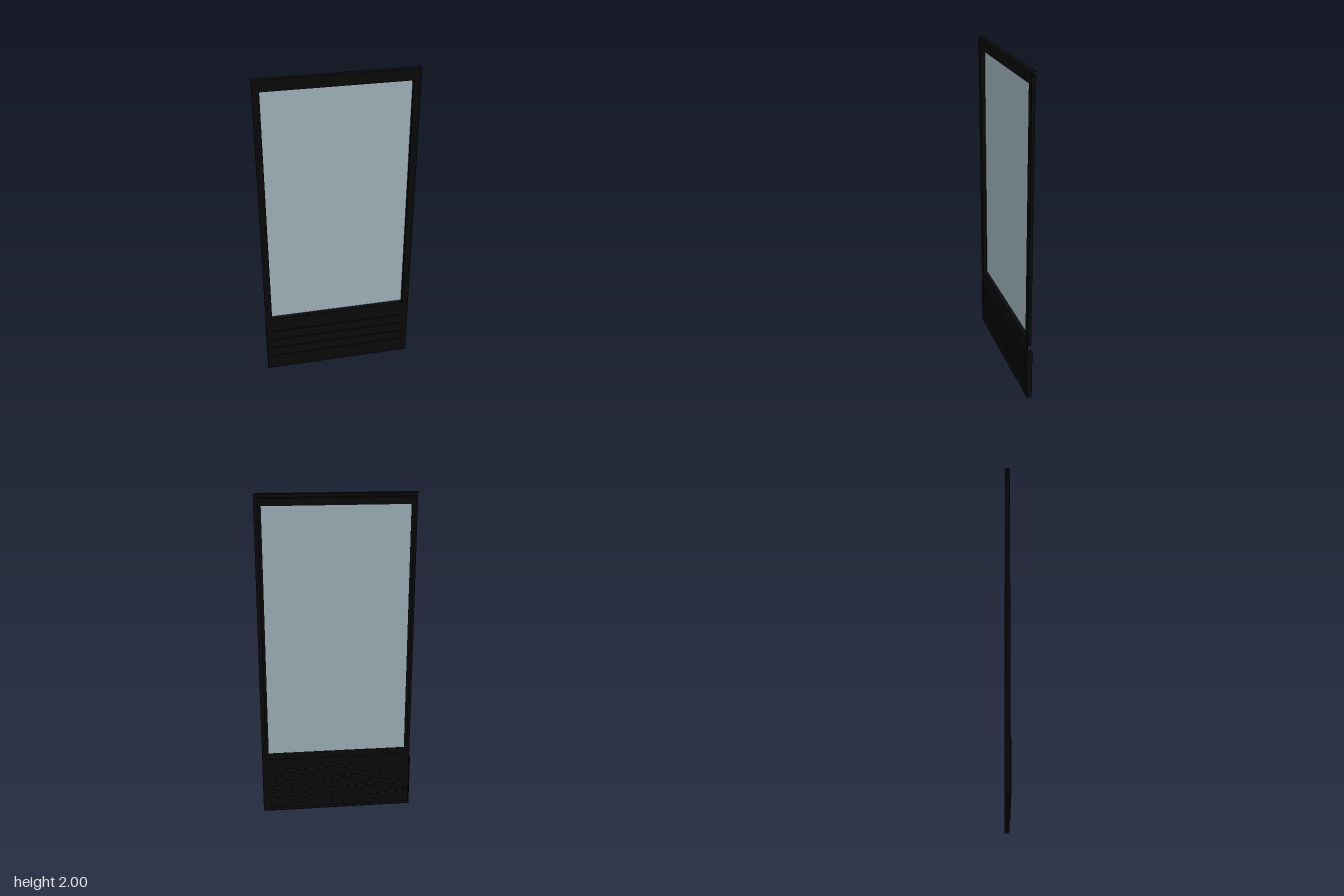
import * as THREE from 'three';

const BACK = -0.018, FRONT = 0.012, LIP = 0.018; // depth levels
const T = 0.002; // sheet thickness
const W = 0.47; // half width
const OPEN = { x: 0.428, y0: 0.405, y1: 1.932 }; // glazed opening

const black = new THREE.MeshStandardMaterial({ color: 0x0b0b0b, side: THREE.DoubleSide });
const glassMat = new THREE.MeshStandardMaterial({ color: 0xb2c8d0, side: THREE.DoubleSide });

function rect(Type, x, y0, y1) {
  return new Type([[-x, y0], [x, y0], [x, y1], [-x, y1]].map(([a, b]) => new THREE.Vector2(a, b)));
}

// Flat plate with rectangular holes, between two depths
function plate(name, outline, holes, z0, z1) {
  outline.holes.push(...holes);
  const geo = new THREE.ExtrudeGeometry(outline, { depth: z1 - z0, bevelEnabled: false });
  geo.translate(0, 0, z0);
  const mesh = new THREE.Mesh(geo, black);
  mesh.name = name;
  return mesh;
}

// Box given by its limits
function box(name, x0, x1, y0, y1, z0, z1, material = black) {
  const mesh = new THREE.Mesh(new THREE.BoxGeometry(x1 - x0, y1 - y0, z1 - z0), material);
  mesh.position.set((x0 + x1) / 2, (y0 + y1) / 2, (z0 + z1) / 2);
  mesh.name = name;
  return mesh;
}

export function createModel() {
  const group = new THREE.Group();
  group.name = 'glazedDoorPanel';
  const opening = () => rect(THREE.Path, OPEN.x, OPEN.y0, OPEN.y1);

  // Front sheet with the glazed opening and vent slots
  const louvreY = [0.07, 0.137, 0.204, 0.271], louvreH = 0.034, louvreX = 0.438;
  const slots = louvreY.map((y) => rect(THREE.Path, louvreX - T, y, y + louvreH - T));
  group.add(plate('frontSheet', rect(THREE.Shape, W, 0, 2), [opening(), ...slots], FRONT - T, FRONT));

  // Folded flanges: top, bottom and the lower part of both sides
  group.add(box('topFlange', -W, W, 2 - T, 2, BACK, FRONT - T));
  group.add(box('bottomFlange', -W + 0.006, W - 0.006, 0, T, BACK, FRONT - T));
  for (const s of [-1, 1]) {
    const edges = [s * W, s * (W - T)].sort((a, b) => a - b);
    group.add(box(s > 0 ? 'leftFlange' : 'rightFlange', ...edges, 0, 0.338, BACK, FRONT - T));
  }

  // Inner frame behind the sheet, holding the glass
  group.add(plate('innerFrame', rect(THREE.Shape, 0.447, 0.36, 1.975), [opening()], BACK, FRONT - T));
  group.add(box('glass', -OPEN.x, OPEN.x, OPEN.y0, OPEN.y1, BACK + 0.001, BACK + 0.004, glassMat));

  // Louvre hoods: face, top and two ends, hollow from behind
  for (const y of louvreY) {
    const hood = new THREE.Group();
    hood.name = 'louvre';
    const top = y + louvreH;
    hood.add(box('louvreFace', -louvreX, louvreX, y, top, LIP - T, LIP));
    hood.add(box('louvreTop', -louvreX, louvreX, top - T, top, FRONT, LIP - T));
    hood.add(box('louvreEnd', -louvreX, -louvreX + T, y, top - T, FRONT, LIP - T));
    hood.add(box('louvreEnd', louvreX - T, louvreX, y, top - T, FRONT, LIP - T));
    group.add(hood);
  }
  return group;
}
